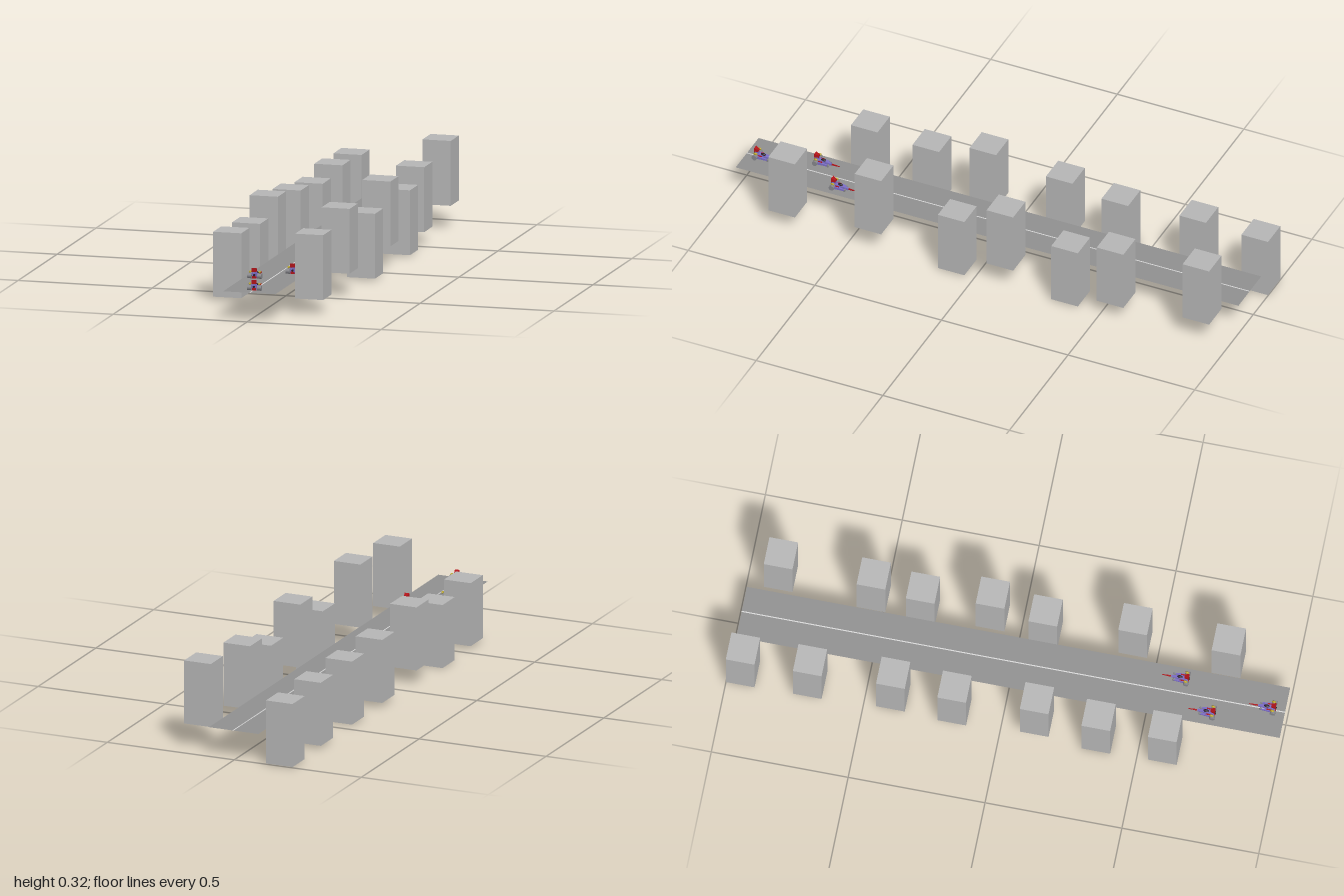
import * as THREE from 'three';

const mat = (name, color, side = THREE.FrontSide) => {
  const m = new THREE.MeshStandardMaterial({ color, side });
  m.name = name;
  return m;
};

const ROAD_Y = 0.107;

export function createModel() {
  const M = {
    block: mat('light grey', 0xb4b4b4),
    road: mat('road grey', 0x8f8f8f, THREE.DoubleSide),
    line: mat('line white', 0xd8d8d8),
    red: mat('red', 0xb01218),
    purple: mat('purple', 0x7a6cc4),
    metal: mat('metal grey', 0x85858a),
    yellow: mat('yellow', 0xb8a21e),
    dark: mat('dark', 0x2a2026),
  };
  const root = new THREE.Group();
  root.name = 'raceTrack';

  const add = (parent, name, geo, material, x = 0, y = 0, z = 0) => {
    const mesh = new THREE.Mesh(geo, material);
    mesh.name = name;
    mesh.position.set(x, y, z);
    parent.add(mesh);
    return mesh;
  };

  // Flat track with a centre line
  add(root, 'road', new THREE.PlaneGeometry(0.195, 1.985).rotateX(-Math.PI / 2), M.road, 0.007, ROAD_Y - 0.001, 0.003);
  add(root, 'centreLine', new THREE.BoxGeometry(0.004, 0.0006, 1.985), M.line, 0.009, ROAD_Y - 0.0006, 0.003);

  // Floating tower blocks: x, bottom y, z
  const towers = [
    [-0.177, 0.003, -0.948], [-0.177, 0.012, -0.703], [-0.163, 0.003, -0.402], [-0.179, 0.021, -0.175],
    [-0.177, 0.056, 0.126], [-0.177, 0, 0.351], [-0.177, 0.012, 0.594],
    [0.176, 0.087, -0.879], [0.176, 0.056, -0.54], [0.175, 0.006, -0.36], [0.176, 0.087, -0.105],
    [0.175, 0.006, 0.088], [0.176, 0.087, 0.416], [0.176, 0.056, 0.757],
  ];
  const towerGeo = new THREE.BoxGeometry(0.105, 0.237, 0.105);
  for (const [x, y, z] of towers) add(root, 'tower', towerGeo, M.block, x, y + 0.1185, z);

  // Box that narrows and drops toward its -z end
  const taper = (w, h, d, wScale, hScale) => {
    const g = new THREE.BoxGeometry(w, h, d).toNonIndexed();
    const p = g.attributes.position;
    for (let i = 0; i < p.count; i++) {
      if (p.getZ(i) > 0) continue;
      p.setX(i, p.getX(i) * wScale);
      p.setY(i, (p.getY(i) + h / 2) * hScale - h / 2);
    }
    g.computeVertexNormals();
    return g;
  };
  const wheel = (r, w) => new THREE.CylinderGeometry(r, r, w, 16).rotateZ(Math.PI / 2);

  // Racer, nose toward -z
  const G = {
    hull: taper(0.018, 0.016, 0.062, 0.4, 0.5),
    nose: taper(0.005, 0.004, 0.032, 0.4, 0.6),
    pod: taper(0.011, 0.011, 0.042, 0.35, 0.5),
    rear: wheel(0.0098, 0.015),
    front: wheel(0.005, 0.005),
    fin: taper(0.019, 0.015, 0.016, 0.55, 0.6),
    cockpit: new THREE.SphereGeometry(0.006, 12, 8).scale(0.9, 0.8, 1.7),
    lamp: new THREE.SphereGeometry(0.0042, 10, 8).scale(1, 1, 1.8),
    strut: new THREE.BoxGeometry(0.003, 0.012, 0.004),
    axle: new THREE.CylinderGeometry(0.0025, 0.0025, 0.044, 8).rotateZ(Math.PI / 2),
    exhaust: new THREE.CylinderGeometry(0.004, 0.004, 0.006, 12).rotateX(Math.PI / 2),
    tail: new THREE.BoxGeometry(0.015, 0.008, 0.006),
  };
  const makeRacer = (x, z) => {
    const car = new THREE.Group();
    car.name = 'racer';
    car.position.set(x, ROAD_Y, z);
    add(car, 'hull', G.hull, M.purple, 0, 0.0115, 0.013);
    add(car, 'nose', G.nose, M.red, 0, 0.0075, -0.036);
    add(car, 'cockpit', G.cockpit, M.dark, 0, 0.017, 0.013);
    add(car, 'engineCover', G.fin, M.red, 0, 0.0325, 0.038);
    add(car, 'engineNeck', new THREE.BoxGeometry(0.008, 0.012, 0.013), M.purple, 0, 0.022, 0.036);
    add(car, 'tailPlate', G.tail, M.red, 0, 0.0055, 0.044);
    add(car, 'exhaust', G.exhaust, M.dark, 0, 0.014, 0.046);
    add(car, 'rearAxle', G.axle, M.dark, 0, 0.0098, 0.037);
    add(car, 'frontAxle', G.axle, M.metal, 0, 0.006, -0.008).scale.x = 0.5;
    for (const s of [-1, 1]) {
      add(car, 'rearWheel', G.rear, M.metal, s * 0.0185, 0.0098, 0.038);
      add(car, 'frontWheel', G.front, M.metal, s * 0.0115, 0.005, -0.008);
      add(car, 'sidePod', G.pod, M.purple, s * 0.012, 0.0085, 0.013);
      add(car, 'sidePodStripe', new THREE.BoxGeometry(0.004, 0.002, 0.016), M.red, s * 0.011, 0.0135, 0.022);
      add(car, 'lamp', G.lamp, M.yellow, s * 0.0175, 0.024, 0.036);
      add(car, 'finStrut', G.strut, M.purple, s * 0.008, 0.023, 0.042).rotation.z = s * 0.5;
    }
    root.add(car);
  };
  makeRacer(-0.046, 0.705);
  makeRacer(0.014, 0.915);
  makeRacer(0.063, 0.588);

  return root;
}
